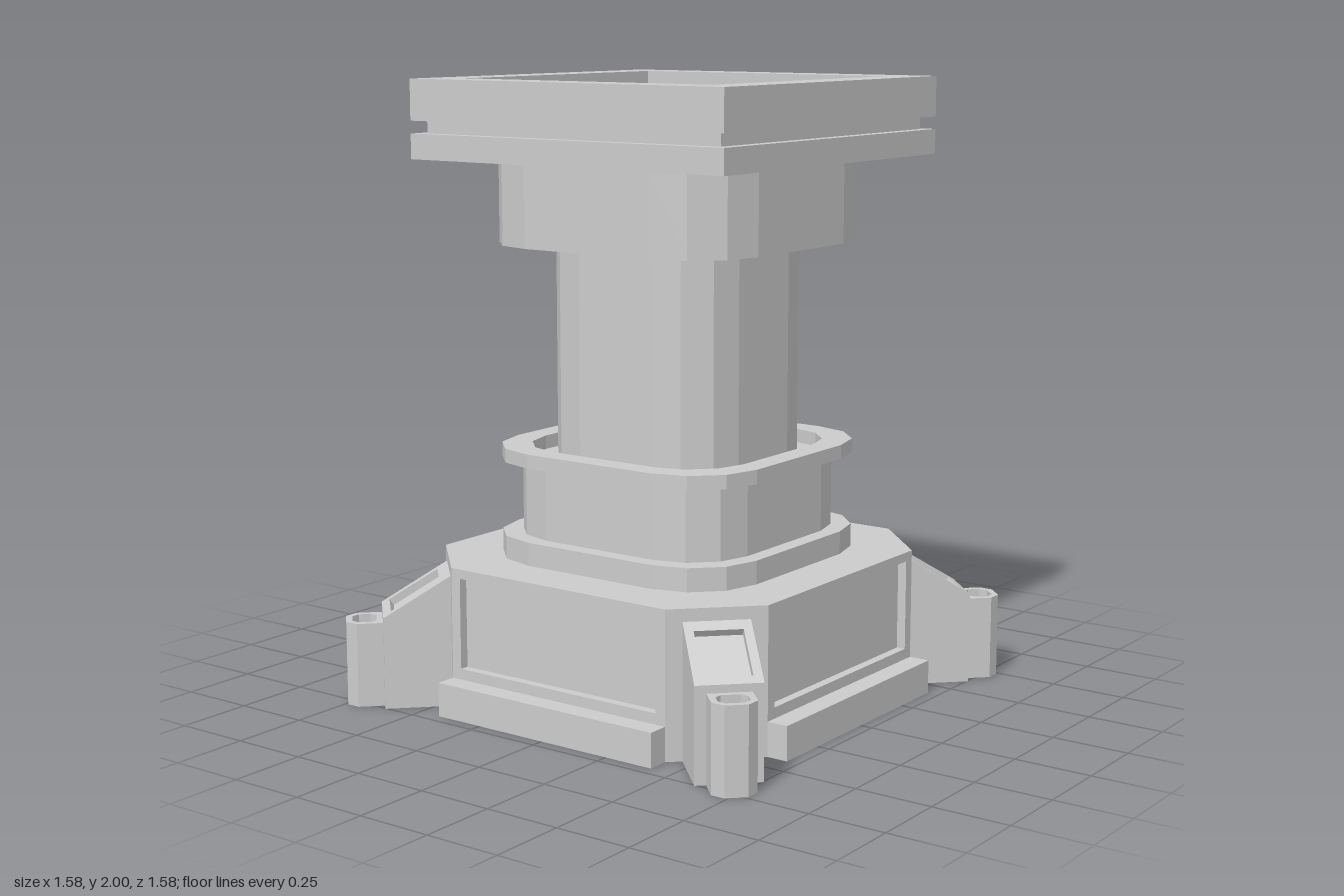
import * as THREE from 'three';

const material = new THREE.MeshStandardMaterial({ color: 0xcccccc, flatShading: true });

const toShape = (pts) => new THREE.Shape(pts.map(([x, y]) => new THREE.Vector2(x, y)));
const extrude = (shape, depth) => new THREE.ExtrudeGeometry(shape, { depth, bevelEnabled: false });

function add(parent, name, geometry) {
  const mesh = new THREE.Mesh(geometry, material);
  mesh.name = name;
  parent.add(mesh);
  return mesh;
}

// Shape with an optional hole, extruded upwards from y0 to y1
function prism(pts, y0, y1, holePts) {
  const shape = toShape(pts);
  if (holePts) shape.holes.push(toShape(holePts));
  return extrude(shape, y1 - y0).rotateX(-Math.PI / 2).translate(0, y0, 0);
}

const rect = (hx, y0, y1) => [[-hx, y0], [hx, y0], [hx, y1], [-hx, y1]];
const square = (h) => rect(h, -h, h);

// Square with each corner rounded by three facets
function roundedSquare(h, r) {
  const pts = [];
  for (let corner = 0; corner < 4; corner++) {
    const mid = Math.PI / 4 + corner * Math.PI / 2;
    const cx = Math.sign(Math.cos(mid)) * (h - r);
    const cy = Math.sign(Math.sin(mid)) * (h - r);
    for (let i = 0; i <= 3; i++) {
      const a = corner * Math.PI / 2 + i * Math.PI / 6;
      pts.push([cx + r * Math.cos(a), cy + r * Math.sin(a)]);
    }
  }
  return pts;
}

const chamferedSquare = (h, c) => [
  [h, -c], [h, c], [c, h], [-c, h], [-h, c], [-h, -c], [-c, -h], [c, -h],
];

// One side of the plinth: a framed sunken panel over a projecting foot
function plinthSide() {
  const side = new THREE.Group();
  side.name = 'plinthSide';
  const shape = toShape(rect(0.42, 0, 0.47));
  shape.holes.push(toShape(rect(0.385, 0.145, 0.44)));
  const frame = extrude(shape, 0.03).translate(0, 0, 0.61);
  // Splay the back of the frame to meet the chamfered corners
  const p = frame.attributes.position;
  for (let i = 0; i < p.count; i++) {
    if (Math.abs(p.getX(i)) > 0.41 && p.getZ(i) < 0.62) p.setX(i, Math.sign(p.getX(i)) * 0.45);
  }
  frame.computeVertexNormals();
  add(side, 'panelFrame', frame);
  add(side, 'foot', new THREE.BoxGeometry(0.84, 0.11, 0.08).translate(0, 0.055, 0.67));
  return side;
}

// Corner buttress, built along +x and turned to the diagonal
function buttress() {
  const leg = new THREE.Group();
  leg.name = 'buttress';
  const rail = [[0.72, 0], [0.965, 0], [0.965, 0.3], [0.75, 0.43], [0.72, 0.43]];
  for (const z of [-0.103, 0.075]) {
    add(leg, 'sideRail', extrude(toShape(rail), 0.028).translate(0, 0, z));
  }
  // Middle slice with the sunken sloping panel
  const middle = [
    [0.72, 0], [0.965, 0], [0.965, 0.3], [0.94, 0.315], [0.927, 0.294],
    [0.77, 0.389], [0.783, 0.41], [0.75, 0.43], [0.72, 0.43],
  ];
  add(leg, 'slopingPanel', extrude(toShape(middle), 0.15).translate(0, 0, -0.075));

  // Faceted post at the end, hollowed at the top
  const post = [
    [0.95, -0.068], [1.049, -0.068], [1.082, -0.035],
    [1.082, 0.035], [1.049, 0.068], [0.95, 0.068],
  ];
  const hollow = [
    [0.985, -0.03], [1.003, -0.048], [1.041, -0.048], [1.062, -0.027],
    [1.062, 0.027], [1.041, 0.048], [1.003, 0.048], [0.985, 0.03],
  ];
  add(leg, 'post', prism(post, 0, 0.245));
  add(leg, 'postRim', prism(post, 0.245, 0.275, hollow));
  return leg;
}

export function createModel() {
  const model = new THREE.Group();
  model.name = 'pedestal';

  // Plinth with four panelled sides and four corner buttresses
  add(model, 'plinthCore', prism(chamferedSquare(0.61, 0.45), 0, 0.47));
  for (let i = 0; i < 4; i++) {
    const side = plinthSide();
    side.rotation.y = i * Math.PI / 2;
    const leg = buttress();
    leg.rotation.y = Math.PI / 4 + i * Math.PI / 2;
    model.add(side, leg);
  }

  // Column
  add(model, 'baseRing', prism(roundedSquare(0.475, 0.235), 0.47, 0.545));
  add(model, 'lowerDrum', prism(roundedSquare(0.42, 0.21), 0.545, 0.785));
  add(model, 'drumLip', prism(roundedSquare(0.475, 0.235), 0.785, 0.83, roundedSquare(0.395, 0.2)));
  add(model, 'shaft', prism(roundedSquare(0.335, 0.197), 0.785, 1.48));
  add(model, 'upperCollar', prism(roundedSquare(0.475, 0.235), 1.48, 1.75));

  // Square cap with a groove and a sunken top
  add(model, 'capLowerSlab', prism(square(0.597), 1.75, 1.83));
  add(model, 'capGroove', prism(square(0.56), 1.83, 1.87));
  add(model, 'capUpperSlab', prism(square(0.597), 1.87, 1.9));
  add(model, 'capRim', prism(square(0.597), 1.9, 2, square(0.475)));

  return model;
}
